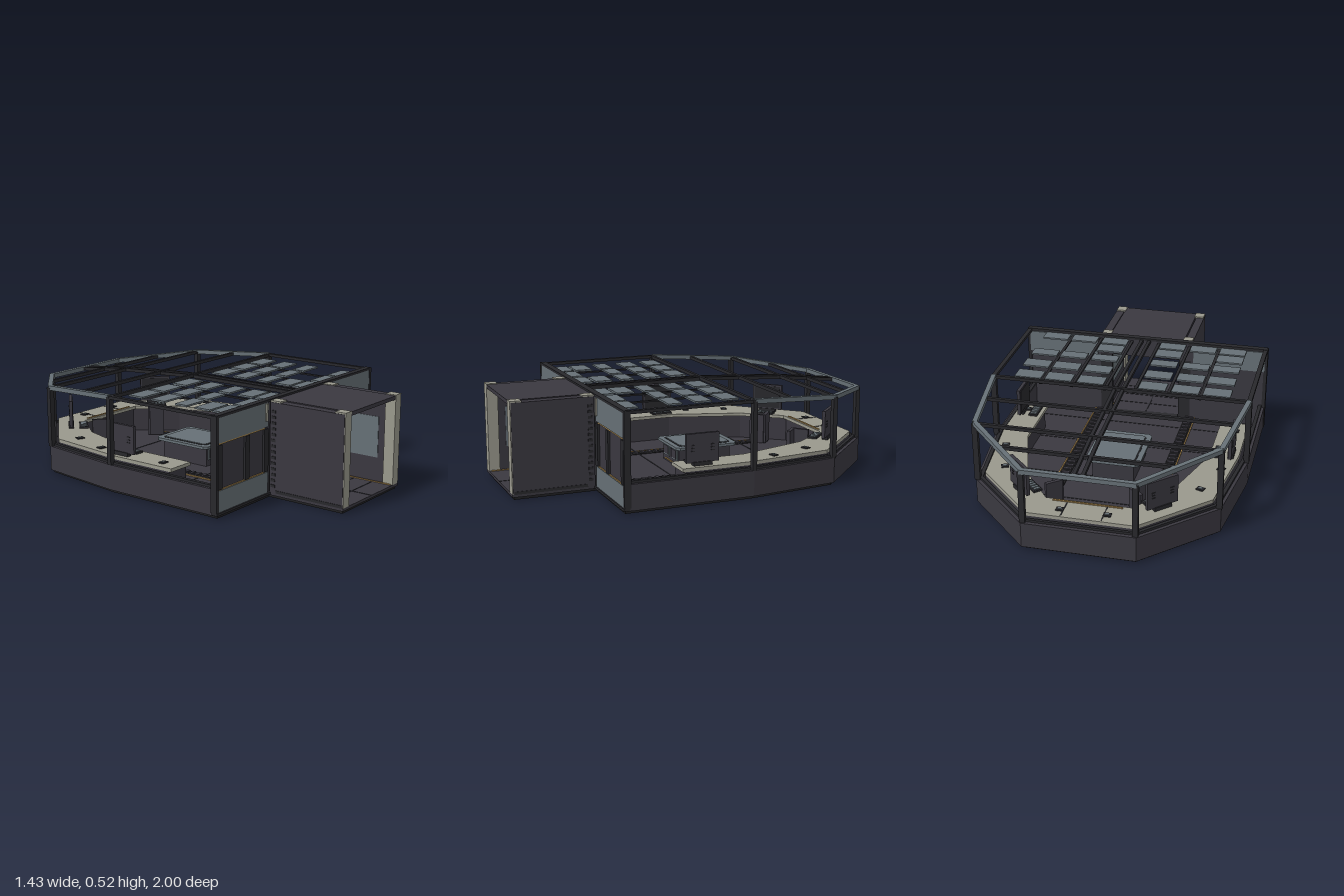
import * as THREE from 'three';

const mat = (name, color) => new THREE.MeshStandardMaterial({ name, color });

export function createModel() {
  const root = new THREE.Group();
  root.name = 'controlRoom';
  const M = {
    dark: mat('dark panel', 0x3a3840),
    trim: mat('black trim', 0x28282c),
    under: mat('underside black', 0x1f1f21),
    slate: mat('blue grey panel', 0x667076),
    beige: mat('beige', 0x9a998d),
    amber: mat('amber strip', 0xa8874f),
  };

  const add = (name, geo, m) => {
    const mesh = new THREE.Mesh(geo, m);
    mesh.name = name;
    root.add(mesh);
    return mesh;
  };
  // box given by its extents
  const box = (name, m, x0, x1, y0, y1, z0, z1) => {
    const b = add(name, new THREE.BoxGeometry(x1 - x0, y1 - y0, z1 - z0), m);
    b.position.set((x0 + x1) / 2, (y0 + y1) / 2, (z0 + z1) / 2);
    return b;
  };
  // the same box on both sides
  const pair = (name, m, x0, x1, ...r) => {
    box(name + 'Left', m, x0, x1, ...r);
    box(name + 'Right', m, -x1, -x0, ...r);
  };
  // straight beam between two points
  const beam = (name, m, a, b, w, h) => {
    const p = new THREE.Vector3(...a), q = new THREE.Vector3(...b);
    const mesh = add(name, new THREE.BoxGeometry(w, h, p.distanceTo(q)), m);
    mesh.position.copy(p).lerp(q, 0.5);
    mesh.lookAt(q);
    return mesh;
  };
  // flat plan [x, z] raised from y0 to y1
  const plan = (name, m, pts, y0, y1) => {
    const s = new THREE.Shape(pts.map(([x, z]) => new THREE.Vector2(x, -z)));
    const g = new THREE.ExtrudeGeometry(s, { depth: y1 - y0, bevelEnabled: false });
    g.rotateX(-Math.PI / 2).translate(0, y0, 0);
    return add(name, g, m);
  };
  const mirror = half => [...half, ...half.map(([x, z]) => [-x, z]).reverse()];
  const band = (outer, inner) => [...mirror(outer), ...mirror(inner).reverse()];

  // hull and floor
  const outline = [[0.71, 0.55], [0.71, -0.14], [0.645, -0.64], [0.29, -1]];
  const inside = [[0.675, 0.55], [0.675, -0.135], [0.61, -0.625], [0.275, -0.965]];
  const baseLine = [[0.695, 0.55], [0.695, -0.13], [0.63, -0.63], [0.285, -0.98]];
  plan('base', M.under, mirror(baseLine), 0, 0.015);
  plan('floor', M.dark, mirror(outline), 0.015, 0.03);
  plan('hullWall', M.dark, band(outline, inside), 0.03, 0.15);
  plan('hullRim', M.trim, band(baseLine, inside), 0.15, 0.163);
  for (const z of [-0.52, -0.27, 0.12, 0.39]) box('floorSeam', M.trim, -0.6, 0.6, 0.03, 0.032, z - 0.004, z + 0.004);

  // floor tracks with rungs and light strips
  pair('track', M.under, 0.24, 0.295, 0.03, 0.034, -0.7, 0.53);
  pair('trackLight', M.amber, 0.299, 0.306, 0.03, 0.036, -0.7, 0.53);
  for (let z = -0.68; z < 0.52; z += 0.04) pair('trackRung', M.dark, 0.245, 0.29, 0.034, 0.04, z, z + 0.018);

  // console ring along the walls
  const deskOut = [[0.66, 0.23], [0.66, -0.14], [0.60, -0.62], [0.275, -0.95]];
  const deskIn = [[0.505, 0.23], [0.505, -0.18], [0.38, -0.58], [0.22, -0.79]];
  const cabIn = [[0.53, 0.22], [0.53, -0.18], [0.40, -0.59], [0.225, -0.81]];
  plan('consoleCabinet', M.dark, band(deskOut.map(([x, z]) => [x, z > 0 ? 0.22 : z]), cabIn), 0.03, 0.166);
  plan('consoleTop', M.beige, band(deskOut, deskIn), 0.166, 0.184);
  pair('consoleSeam', M.trim, 0.1, 0.106, 0.184, 0.186, -0.94, -0.8);
  for (const [x, z, a] of [[0.12, -0.885, 0], [0.52, -0.535, 0.35], [0.59, -0.31, 0.2], [0.6, 0.13, 0]])
    for (const s of [1, -1]) {
      const p = box('consoleSocket', M.trim, s * x - 0.02, s * x + 0.02, 0.184, 0.19, z - 0.016, z + 0.016);
      p.rotation.y = s * a;
      const q = box('consoleButton', M.slate, s * x - 0.01, s * x + 0.01, 0.19, 0.193, z - 0.007, z + 0.007);
      q.rotation.y = s * a;
    }

  // upright screens, built facing local +z
  const screen = (x, z, turn) => {
    const g = new THREE.Group();
    g.name = 'screen';
    const part = (name, m, w, h, d, px, py, pz) => {
      const b = new THREE.Mesh(new THREE.BoxGeometry(w, h, d), m);
      b.name = name;
      b.position.set(px, py, pz);
      g.add(b);
    };
    part('screenBody', M.dark, 0.18, 0.15, 0.018, 0, 0.275, 0);
    part('screenFace', M.trim, 0.16, 0.13, 0.004, 0, 0.275, 0.01);
    part('screenFoot', M.trim, 0.1, 0.02, 0.03, 0, 0.194, 0);
    for (const sx of [-0.055, 0.055])
      for (const dy of [-0.015, 0, 0.015]) part('screenVent', M.trim, 0.02, 0.005, 0.004, sx, 0.275 + dy, -0.01);
    part('keyboard', M.trim, 0.12, 0.01, 0.05, 0, 0.19, 0.07);
    for (let i = -2; i <= 2; i++) part('keys', M.slate, 0.015, 0.004, 0.035, i * 0.021, 0.197, 0.07);
    g.position.set(x, 0, z);
    g.rotation.y = turn;
    root.add(g);
  };
  screen(0.365, -0.755, -Math.PI / 4);
  screen(-0.365, -0.755, Math.PI / 4);
  screen(0.62, 0.11, -Math.PI / 2);
  screen(-0.62, -0.135, Math.PI / 2);

  // angled stands at the head of the tracks
  for (const s of [1, -1]) {
    beam('standArm', M.dark, [s * 0.18, 0.125, -0.64], [s * 0.24, 0.125, -0.58], 0.02, 0.17);
    beam('standArm', M.dark, [s * 0.18, 0.125, -0.64], [s * 0.25, 0.125, -0.7], 0.02, 0.17);
  }

  // rear console front panel
  box('consoleBackLight', M.amber, -0.18, 0.18, 0.184, 0.189, -0.81, -0.8);

  // central table
  const tableTop = [[0.13, 0.05], [0.15, 0.03], [0.15, -0.29], [0.13, -0.31]];
  box('tablePedestal', M.dark, -0.115, 0.115, 0.03, 0.135, -0.28, 0.025);
  plan('tableTop', M.slate, mirror(tableTop), 0.135, 0.15);
  plan('tableGroove', M.trim, mirror(tableTop.map(([x, z]) => [x * 0.82, (z + 0.13) * 0.84 - 0.13])), 0.15, 0.152);
  plan('tableInset', M.slate, mirror(tableTop.map(([x, z]) => [x * 0.77, (z + 0.13) * 0.81 - 0.13])), 0.152, 0.155);
  pair('tablePanel', M.slate, 0.012, 0.1, 0.065, 0.13, 0.025, 0.031);
  pair('tablePanelInset', M.dark, 0.022, 0.09, 0.074, 0.121, 0.031, 0.034);
  box('tableLight', M.amber, -0.08, 0.08, 0.04, 0.046, 0.025, 0.031);

  // front wall with banded panels
  pair('frontWall', M.dark, 0.27, 0.7, 0.03, 0.51, 0.53, 0.55);
  pair('frontLowerBand', M.slate, 0.285, 0.7, 0.03, 0.14, 0.55, 0.558);
  pair('frontUpperBand', M.slate, 0.285, 0.7, 0.378, 0.51, 0.55, 0.558);
  pair('innerUpperBand', M.slate, 0.285, 0.7, 0.378, 0.5, 0.523, 0.53);
  pair('frontLowerLight', M.amber, 0.31, 0.69, 0.14, 0.146, 0.55, 0.555);
  pair('frontUpperLight', M.amber, 0.31, 0.69, 0.37, 0.378, 0.55, 0.555);
  for (const x of [0.305, 0.465, 0.685]) pair('frontRib', M.trim, x - 0.017, x + 0.017, 0.146, 0.37, 0.55, 0.562);
  pair('frontEdge', M.trim, 0.695, 0.715, 0.03, 0.515, 0.525, 0.56);
  pair('frontLamp', M.beige, 0.295, 0.312, 0.41, 0.5, 0.558, 0.566);
  box('frontTopRail', M.trim, -0.71, 0.71, 0.505, 0.518, 0.525, 0.56);
  box('frontSill', M.trim, -0.715, 0.715, 0.018, 0.03, 0.53, 0.565);
  box('doorHeader', M.dark, -0.27, 0.27, 0.4, 0.505, 0.53, 0.55);
  pair('doorJamb', M.trim, 0.2, 0.27, 0.03, 0.4, 0.53, 0.55);

  // entrance corridor
  box('corridorBase', M.under, -0.26, 0.26, 0, 0.015, 0.55, 0.99);
  box('corridorFloor', M.dark, -0.27, 0.27, 0.015, 0.03, 0.55, 1);
  box('corridorRoof', M.dark, -0.22, 0.22, 0.488, 0.508, 0.55, 0.998);
  pair('corridorWall', M.dark, 0.225, 0.272, 0.03, 0.504, 0.56, 0.996);
  pair('corridorInnerPanel', M.slate, 0.222, 0.225, 0.16, 0.38, 0.65, 0.9);
  pair('corridorFloorLight', M.amber, 0.205, 0.212, 0.03, 0.035, 0.56, 0.99);
  for (const z of [0.66, 0.77, 0.88]) box('corridorSeam', M.trim, -0.2, 0.2, 0.03, 0.032, z, z + 0.006);
  box('corridorSpine', M.trim, -0.003, 0.003, 0.03, 0.032, 0.56, 1);
  for (const z of [0.56, 0.94]) pair('corridorColumn', M.beige, 0.215, 0.2695, 0.03, 0.512, z, z + 0.06);
  for (let y = 0.06; y < 0.47; y += 0.03) {
    pair('wallVent', M.trim, 0.272, 0.276, y, y + 0.014, 0.57, 0.595);
  }
  pair('wallSeam', M.trim, 0.272, 0.275, 0.03, 0.045, 0.6, 0.99);

  // roof frame
  const edge = [[0.7, 0.507, 0.54], [0.7, 0.507, -0.14], [0.635, 0.476, -0.635], [0.283, 0.434, -0.982]];
  for (const s of [1, -1]) {
    const p = edge.map(([x, y, z]) => [s * x, y, z]);
    beam('sideRail', M.trim, p[0], p[1], 0.024, 0.016);
    beam('slopeRail', M.slate, p[1], p[2], 0.026, 0.024);
    beam('rearCornerRail', M.slate, p[2], p[3], 0.026, 0.024);
    for (const [x, y, z] of p.slice(1)) box('post', M.trim, x - 0.015, x + 0.015, 0.15, y, z - 0.012, z + 0.012);
    // twin spine beams
    const spine = [[0.5, 0.54], [0.5, -0.14], [0.472, -0.635], [0.434, -0.98]];
    for (let i = 0; i < 3; i++)
      beam('spineBeam', M.trim, [s * 0.022, ...spine[i]], [s * 0.022, ...spine[i + 1]], 0.018, 0.018);
  }
  beam('rearRail', M.slate, [-0.29, 0.434, -0.982], [0.29, 0.434, -0.982], 0.026, 0.024);
  for (const [x, y, z] of [[0.7, 0.505, -0.14], [0.665, 0.49, -0.38], [0.63, 0.474, -0.64], [0.46, 0.453, -0.81]])
    beam('crossBeam', M.trim, [-x, y, z], [x, y, z], 0.018, 0.018);
  for (const x of [0.435, 0.262, 0.08]) pair('panelRunner', M.trim, x - 0.008, x + 0.008, 0.488, 0.496, -0.14, 0.53);

  // ceiling panels, some places left open
  const rows = [[-0.105, -0.01], [0.045, 0.135], [0.205, 0.28], [0.33, 0.425], [0.44, 0.522]];
  const open = ['3,-0.35', '3,0.35', '3,0.52'];
  rows.forEach(([z0, z1], r) => {
    for (const x of [-0.52, -0.35, -0.17, 0.17, 0.35, 0.52])
      if (!open.includes(r + ',' + x)) box('ceilingPanel', M.slate, x - 0.074, x + 0.074, 0.496, 0.505, z0, z1);
  });
  return root;
}
